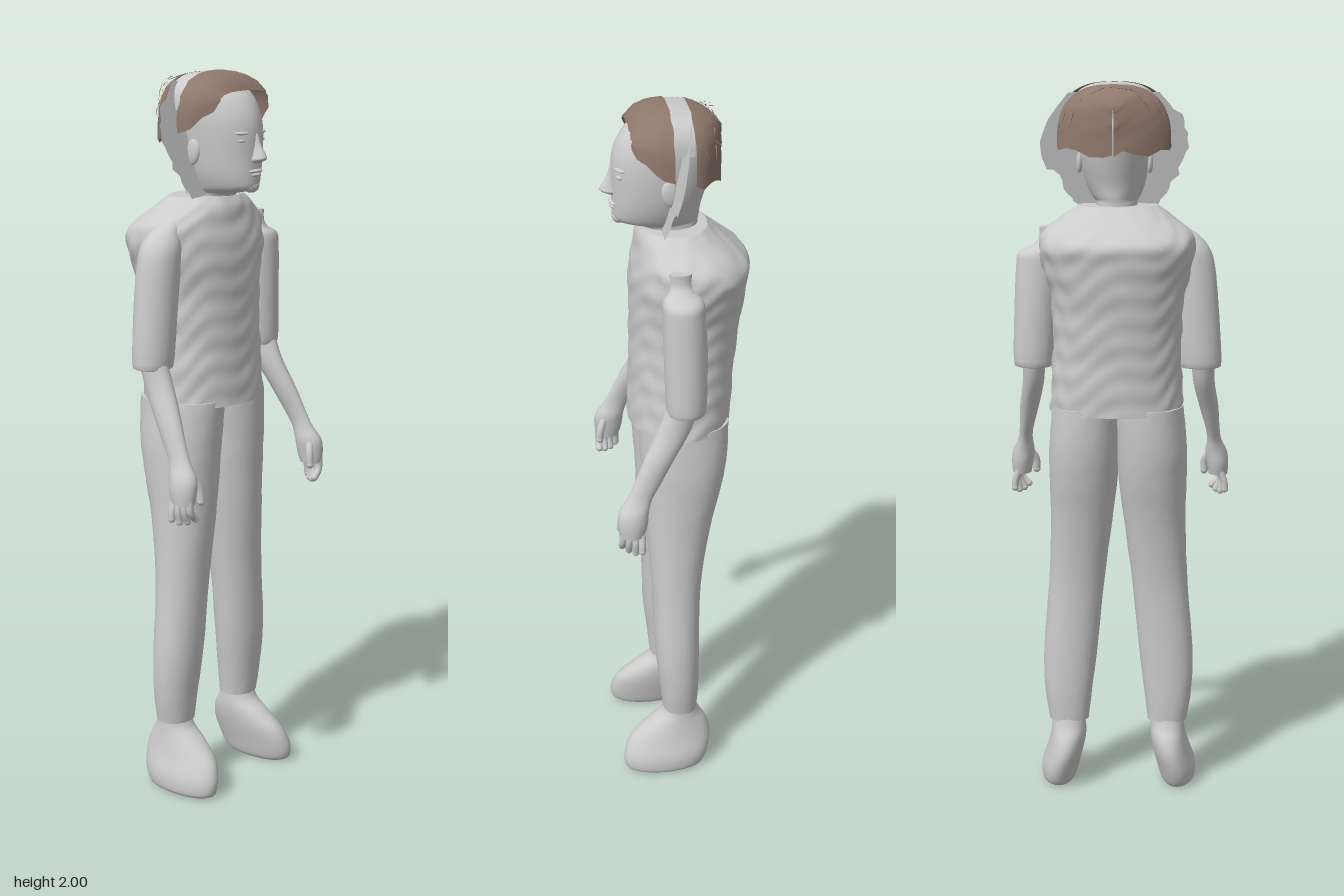
import * as THREE from 'three';

const grey = new THREE.MeshStandardMaterial({ color: 0xcccccc, side: THREE.DoubleSide });
grey.name = 'plain grey';
const brown = new THREE.MeshStandardMaterial({ color: 0x8f786c, side: THREE.DoubleSide });
brown.name = 'hair brown';

let seed = 7;
const rand = () => (seed = (seed * 16807) % 2147483647) / 2147483647;

const spline = (a, b, c, d, t) =>
  0.5 * (2 * b + (c - a) * t + (2 * a - 5 * b + 4 * c - d) * t * t + (3 * b - a - 3 * c + d) * t * t * t);

function surface(pos, idx) {
  const g = new THREE.BufferGeometry();
  g.setAttribute('position', new THREE.Float32BufferAttribute(pos, 3));
  g.setIndex(idx);
  g.computeVertexNormals();
  return g;
}

// Smooth skin over horizontal rings [y, xMin, xMax, zBack, zFront], listed upwards
function loft(rings, { sides = 28, steps = 4, power = 2, bump = 0, capped = true } = {}) {
  const pos = [], idx = [], fine = [];
  const at = i => rings[Math.max(0, Math.min(rings.length - 1, i))];
  for (let i = 0; i < rings.length - 1; i++)
    for (let s = 0; s < steps; s++)
      fine.push(at(i).map((v, k) => spline(at(i - 1)[k], v, at(i + 1)[k], at(i + 2)[k], s / steps)));
  fine.push(at(rings.length - 1));
  const addRing = ([y, x0, x1, z0, z1]) => {
    for (let j = 0; j < sides; j++) {
      const a = (j / sides) * Math.PI * 2, c = Math.cos(a), s = Math.sin(a);
      const w = 1 + bump * Math.sin(y * 70 + 2 * Math.sin(a * 5)) * Math.cos(a * 7 + y * 23);
      pos.push((x0 + x1) / 2 + ((x1 - x0) / 2) * w * Math.sign(c) * Math.abs(c) ** (2 / power), y,
        (z0 + z1) / 2 + ((z1 - z0) / 2) * w * Math.sign(s) * Math.abs(s) ** (2 / power));
    }
  };
  fine.forEach(addRing);
  for (let i = 0; i < fine.length - 1; i++)
    for (let j = 0; j < sides; j++) {
      const a = i * sides + j, b = i * sides + (j + 1) % sides;
      idx.push(a, a + sides, b, b, a + sides, b + sides);
    }
  if (capped) for (const [ring, top] of [[fine[0], false], [fine[fine.length - 1], true]]) {
    const base = pos.length / 3;
    addRing(ring);
    pos.push((ring[1] + ring[2]) / 2, ring[0], (ring[3] + ring[4]) / 2);
    for (let j = 0; j < sides; j++) {
      const a = base + j, b = base + (j + 1) % sides;
      idx.push(base + sides, ...(top ? [b, a] : [a, b]));
    }
  }
  return surface(pos, idx);
}

// Side-to-side arches, one for each [z, halfWidth, bottom, top]
function arches(slices, ragged) {
  const n = 24, pos = [], idx = [];
  slices.forEach(([z, r, low, high], i) => {
    for (let j = 0; j <= n; j++) {
      const a = Math.PI * (1 - j / n), c = Math.cos(a);
      const drop = j === 0 || j === n ? ragged * (rand() - 0.3) : 0;
      pos.push(0.01 + r * Math.sign(c) * Math.abs(c) ** 0.75,
        low + (high - low) * Math.sin(a) ** 0.75 - drop, z + ragged * 0.25 * (rand() - 0.5));
      if (i && j) {
        const q = i * (n + 1) + j, p = q - n - 1;
        idx.push(p - 1, q - 1, p, p, q - 1, q);
      }
    }
  });
  return surface(pos, idx);
}

export function createModel() {
  const model = new THREE.Group();
  model.name = 'standingPerson';
  const add = (name, geo, mat = grey, parent = model) => {
    const m = new THREE.Mesh(geo, mat);
    m.name = name;
    parent.add(m);
    return m;
  };
  const ball = (name, x, y, z, rx, ry, rz) => {
    const m = add(name, new THREE.SphereGeometry(1, 16, 12));
    m.position.set(x, y, z);
    m.scale.set(rx, ry, rz);
    return m;
  };

  // Shirt body with creased cloth
  add('shirt', loft([
    [1.105, -0.18, 0.188, -0.15, 0.13], [1.2, -0.177, 0.183, -0.155, 0.125],
    [1.3, -0.175, 0.178, -0.163, 0.122], [1.42, -0.183, 0.183, -0.178, 0.12],
    [1.52, -0.205, 0.207, -0.193, 0.12], [1.57, -0.212, 0.214, -0.196, 0.112],
    [1.605, -0.195, 0.2, -0.165, 0.106], [1.645, -0.145, 0.145, -0.115, 0.1],
    [1.67, -0.108, 0.108, -0.088, 0.088]], { sides: 72, steps: 8, power: 2.2, bump: 0.018 }));

  // Head and neck
  add('head', loft([
    [1.6, -0.055, 0.06, -0.06, 0.08], [1.67, -0.052, 0.06, -0.062, 0.085],
    [1.683, -0.054, 0.064, -0.063, 0.125], [1.695, -0.062, 0.075, -0.065, 0.16],
    [1.73, -0.075, 0.09, -0.07, 0.165], [1.78, -0.084, 0.102, -0.085, 0.165],
    [1.84, -0.09, 0.108, -0.1, 0.166], [1.89, -0.092, 0.108, -0.105, 0.157],
    [1.935, -0.084, 0.1, -0.09, 0.132], [1.965, -0.055, 0.07, -0.055, 0.095],
    [1.98, -0.015, 0.03, 0, 0.05]], { sides: 36 }));
  add('nose', loft([
    [1.762, -0.005, 0.025, 0.14, 0.17], [1.772, -0.01, 0.03, 0.14, 0.193],
    [1.783, -0.006, 0.026, 0.14, 0.194], [1.81, 0, 0.02, 0.14, 0.178],
    [1.84, 0.001, 0.019, 0.14, 0.168]], { sides: 16 }));
  ball('upperLip', 0.01, 1.741, 0.16, 0.027, 0.006, 0.013);
  ball('lowerLip', 0.01, 1.731, 0.158, 0.022, 0.006, 0.013);
  ball('chin', 0.01, 1.7, 0.147, 0.026, 0.018, 0.018);
  for (const s of [-1, 1]) {
    ball('eye', 0.01 + s * 0.038, 1.822, 0.142, 0.017, 0.008, 0.014);
    ball('brow', 0.01 + s * 0.038, 1.842, 0.145, 0.025, 0.006, 0.014).rotation.y = s * 0.35;
    ball('ear', 0.01 + s * 0.096, 1.79, 0.025, 0.01, 0.036, 0.022).rotation.x = 0.15;
  }

  // Hair cap in two halves with a pale band between them
  add('frontHair', arches([
    [0.122, 0.1, 1.925, 1.95], [0.11, 0.118, 1.905, 1.968], [0.09, 0.135, 1.89, 1.985],
    [0.065, 0.15, 1.868, 1.994], [0.045, 0.154, 1.858, 1.998], [0.02, 0.156, 1.85, 2]], 0.02), brown);
  add('hairBand', arches([
    [0.02, 0.125, 1.9, 1.999], [-0.005, 0.125, 1.9, 1.997], [-0.035, 0.125, 1.9, 1.993]], 0));
  add('backHair', arches([
    [-0.035, 0.154, 1.835, 1.994], [-0.055, 0.149, 1.828, 1.988], [-0.075, 0.126, 1.825, 1.98],
    [-0.095, 0.096, 1.82, 1.97], [-0.11, 0.062, 1.818, 1.955], [-0.119, 0.025, 1.818, 1.94],
    [-0.121, 0.002, 1.82, 1.93]], 0.02), brown);
  for (const [z0, z1] of [[0.03, 0.1], [-0.1, -0.04]]) {
    const pos = [], idx = [];
    for (let i = 0; i < 45; i++) {
      const z = z0 + (z1 - z0) * rand(), a = Math.PI * (0.04 + 0.92 * rand()), t = a + rand() - 0.5;
      const r = 0.153 * Math.sqrt(1 - (z / 0.135) ** 2) + 0.005;
      const put = (ang, dz) => pos.push(0.01 + r * Math.cos(ang),
        Math.min(1.998, 1.86 + 0.128 * Math.abs(Math.sin(ang)) ** 0.8), z + dz);
      put(a, 0); put(a + 0.06, 0.004); put(t, (rand() - 0.5) * 0.035);
      idx.push(i * 3, i * 3 + 1, i * 3 + 2);
    }
    add('hairStrands', surface(pos, idx), brown);
  }

  // Ragged flat hair sheet beside the head, leaning back towards the top
  const outline = [[-0.11, 1.975], [-0.185, 1.9], [-0.185, 1.81], [-0.155, 1.74], [-0.11, 1.67],
    [0, 1.67], [0.11, 1.66], [0.145, 1.7], [0.155, 1.75], [0.205, 1.77], [0.205, 1.88], [0.13, 1.975]];
  const ragged = [];
  outline.forEach(([x, y], i) => {
    const [x2, y2] = outline[(i + 1) % outline.length];
    for (let k = 0; k < 5; k++) {
      const f = 1 + 0.08 * (rand() - 0.5);
      ragged.push(new THREE.Vector2((x + (x2 - x) * k / 5) * f, y + (y2 - y) * k / 5 + 0.008 * (rand() - 0.5)));
    }
  });
  const sheet = new THREE.ShapeGeometry(new THREE.Shape(ragged));
  const sp = sheet.attributes.position;
  for (let i = 0; i < sp.count; i++) sp.setZ(i, 0.04 - (sp.getY(i) - 1.67) * 0.22);
  sheet.computeVertexNormals();
  add('hairSheet', sheet);

  // Sleeves, each with a narrow stub at the shoulder
  add('leftSleeve', loft([
    [1.228, 0.19, 0.275, -0.04, 0.045], [1.24, 0.178, 0.29, -0.052, 0.055], [1.4, 0.168, 0.286, -0.055, 0.06],
    [1.5, 0.165, 0.281, -0.05, 0.062], [1.54, 0.168, 0.273, -0.045, 0.06], [1.56, 0.18, 0.235, -0.025, 0.045],
    [1.58, 0.181, 0.218, -0.018, 0.04], [1.61, 0.181, 0.216, -0.018, 0.04]]));
  add('rightSleeve', loft([
    [1.228, -0.275, -0.18, -0.04, 0.045], [1.24, -0.286, -0.166, -0.052, 0.055], [1.4, -0.276, -0.152, -0.055, 0.06],
    [1.5, -0.266, -0.142, -0.052, 0.062], [1.55, -0.252, -0.138, -0.048, 0.06], [1.585, -0.224, -0.14, -0.03, 0.048],
    [1.605, -0.195, -0.145, -0.018, 0.04], [1.613, -0.185, -0.15, -0.012, 0.034]]));

  // Limbs are made on the +x side and mirrored
  for (const s of [1, -1]) {
    const side = s > 0 ? 'left' : 'right';
    const limb = (name, rings, opts) => add(side + name,
      loft(rings.map(([y, a, b, c, d]) => (s > 0 ? [y, a, b, c, d] : [y, -b, -a, c, d])), opts));

    limb('Forearm', [
      [0.885, 0.256, 0.31, 0.122, 0.188], [0.92, 0.25, 0.312, 0.112, 0.193], [0.955, 0.246, 0.307, 0.108, 0.19],
      [0.99, 0.25, 0.291, 0.098, 0.168], [1.03, 0.245, 0.285, 0.075, 0.148], [1.1, 0.226, 0.28, 0.035, 0.117],
      [1.18, 0.208, 0.268, -0.012, 0.078], [1.26, 0.203, 0.268, -0.035, 0.045]], { sides: 20 });
    // Fingers and thumb
    for (let f = 0; f < 4; f++) {
      const z = 0.13 + f * 0.017, end = 0.832 + Math.abs(f - 1.4) * 0.008;
      const path = new THREE.CatmullRomCurve3([new THREE.Vector3(s * 0.288, 0.9, z),
        new THREE.Vector3(s * (0.3 - f * 0.005), 0.865, z), new THREE.Vector3(s * (0.302 - f * 0.012), end, z)]);
      add(side + 'Finger', new THREE.TubeGeometry(path, 8, 0.01, 8));
      ball(side + 'Fingertip', s * (0.302 - f * 0.012), end, z, 0.01, 0.01, 0.01);
    }
    const thumb = new THREE.CatmullRomCurve3([new THREE.Vector3(s * 0.262, 0.95, 0.165),
      new THREE.Vector3(s * 0.245, 0.92, 0.178), new THREE.Vector3(s * 0.243, 0.888, 0.182)]);
    add(side + 'Thumb', new THREE.TubeGeometry(thumb, 8, 0.011, 8));
    ball(side + 'ThumbTip', s * 0.243, 0.888, 0.182, 0.011, 0.011, 0.011);

    // Trouser leg
    limb('TrouserLeg', [
      [0.195, 0.085, 0.197, -0.045, 0.053], [0.28, 0.075, 0.21, -0.05, 0.062], [0.4, 0.06, 0.213, -0.052, 0.074],
      [0.6, 0.04, 0.197, -0.058, 0.08], [0.78, 0.017, 0.19, -0.085, 0.092], [0.9, 0.002, 0.192, -0.113, 0.098],
      [1.0, -0.004, 0.192, -0.132, 0.105], [1.12, -0.012, 0.182, -0.138, 0.112]], { sides: 32, power: 2.15, bump: 0.008 });
    // Foot
    limb('Foot', [
      [0, 0.13, 0.212, -0.045, 0.15], [0.012, 0.122, 0.222, -0.06, 0.168], [0.05, 0.112, 0.222, -0.076, 0.172],
      [0.1, 0.1, 0.206, -0.084, 0.152], [0.145, 0.093, 0.195, -0.073, 0.102], [0.18, 0.094, 0.19, -0.052, 0.058],
      [0.23, 0.1, 0.187, -0.038, 0.04]], { power: 2.1 });
  }
  return model;
}
